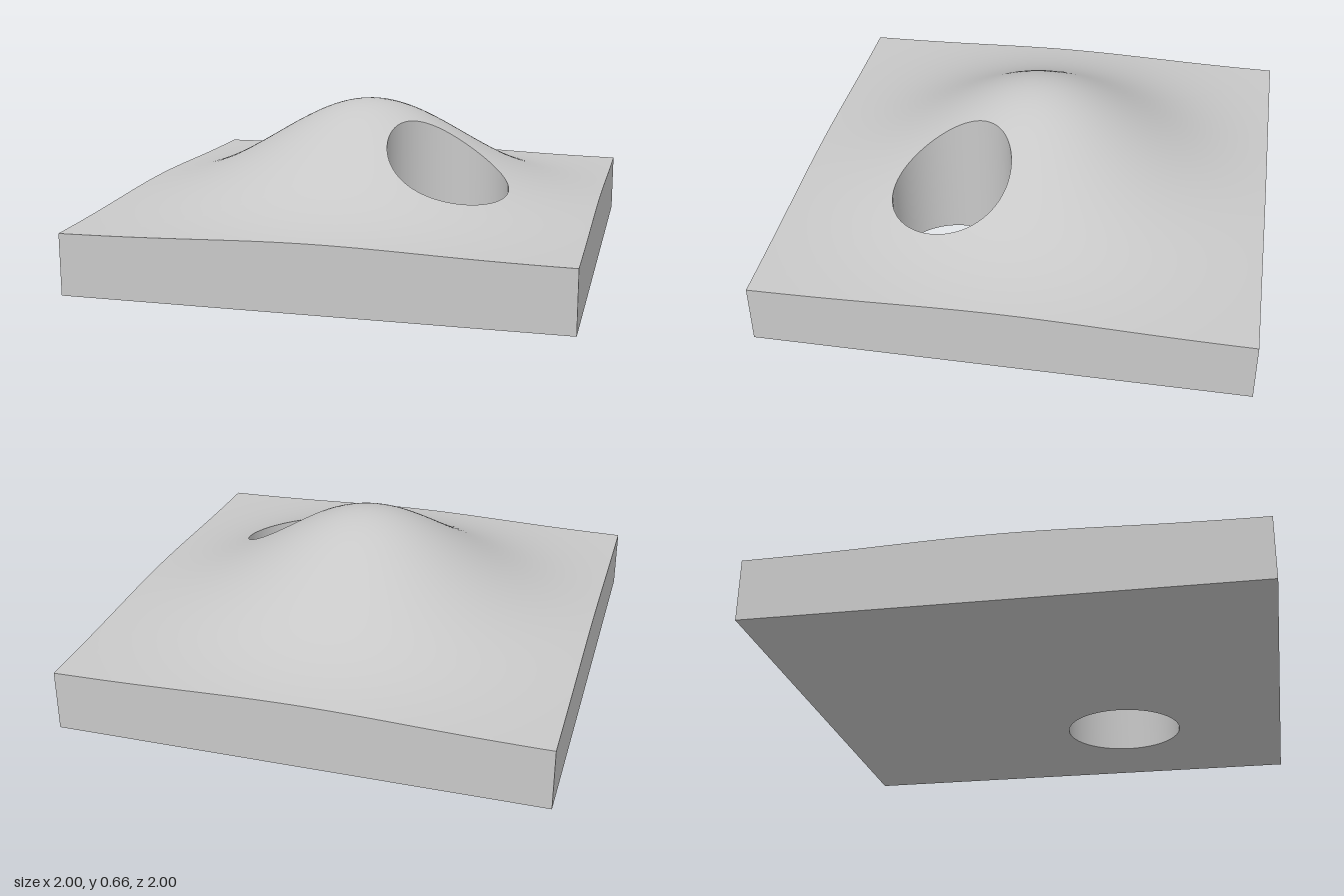
import * as THREE from 'three';

const HOLE = { x: 0.4, z: 0.3, r: 0.25 };
const PER_SIDE = 48;
const RINGS = 44;

// Height of the bell-shaped upper surface
const height = (x, z) => 0.25 + 0.415 * Math.exp(-(x * x + z * z) / 0.355);

// Skin a list of closed loops of [x, y, z] points
function skin(rows, flat = false) {
  const n = rows[0].length;
  const index = [];
  for (let i = 0; i < rows.length - 1; i++) {
    for (let j = 0; j < n; j++) {
      const k = (j + 1) % n;
      const a = i * n + j, b = i * n + k, c = a + n, d = b + n;
      index.push(a, b, c, b, d, c);
    }
  }
  let geo = new THREE.BufferGeometry();
  geo.setAttribute('position', new THREE.Float32BufferAttribute(rows.flat(2), 3));
  geo.setIndex(index);
  if (flat) geo = geo.toNonIndexed();
  geo.computeVertexNormals();
  return geo;
}

export function createModel() {
  const group = new THREE.Group();
  const grey = new THREE.MeshStandardMaterial({ color: 0xc8c8c8 });
  grey.name = 'lightGrey';

  // Square outline, and the hole rim points facing it
  const outline = [];
  for (let side = 0; side < 4; side++) {
    const c = Math.round(Math.cos(side * Math.PI / 2));
    const s = Math.round(Math.sin(side * Math.PI / 2));
    for (let i = 0; i < PER_SIDE; i++) {
      const t = -1 + 2 * i / PER_SIDE;
      outline.push([c - s * t, s + c * t]);
    }
  }
  const rim = outline.map(([x, z]) => {
    const a = Math.atan2(z - HOLE.z, x - HOLE.x);
    return [HOLE.x + HOLE.r * Math.cos(a), HOLE.z + HOLE.r * Math.sin(a)];
  });

  // A loop between rim (t = 0) and outline (t = 1), at height y(x, z)
  const loop = (t, y) => rim.map(([rx, rz], j) => {
    const x = rx + (outline[j][0] - rx) * t;
    const z = rz + (outline[j][1] - rz) * t;
    return [x, y(x, z), z];
  });
  const ground = () => 0;

  const add = (name, geo) => {
    const mesh = new THREE.Mesh(geo, grey);
    mesh.name = name;
    group.add(mesh);
  };

  const topLoops = Array.from({ length: RINGS + 1 }, (_, i) => loop(i / RINGS, height));
  add('domedTop', skin(topLoops));
  add('outerWalls', skin([loop(1, height), loop(1, ground)], true));
  add('underside', skin([loop(1, ground), loop(0, ground)]));
  add('holeWall', skin([loop(0, ground), loop(0, height)]));

  return group;
}
